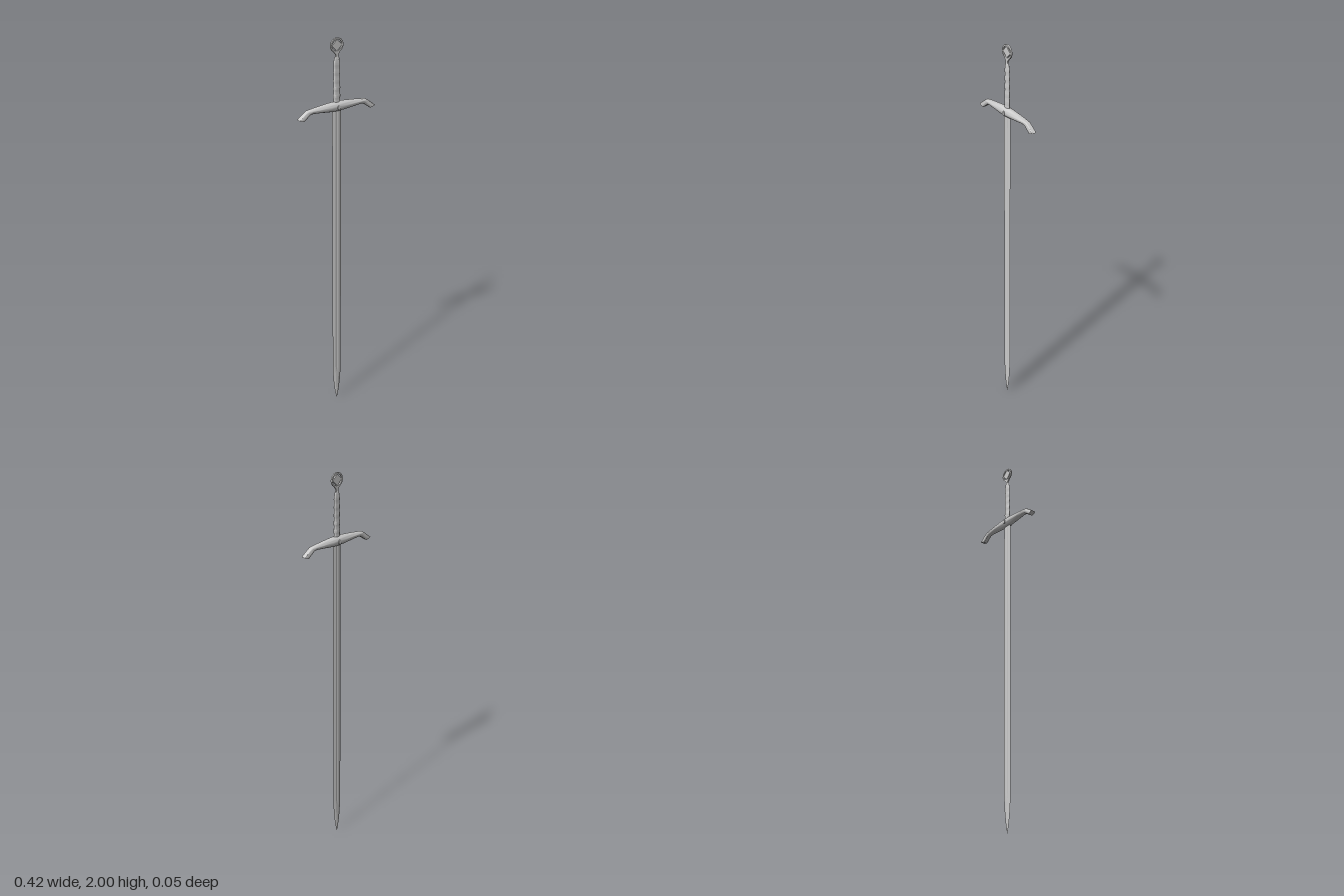
import * as THREE from 'three';
import { toCreasedNormals } from 'three/addons/utils/BufferGeometryUtils.js';

const material = new THREE.MeshStandardMaterial({ color: 0xcccccc });

function part(name, geometry, parent) {
  const mesh = new THREE.Mesh(geometry, material);
  mesh.name = name;
  parent.add(mesh);
  return mesh;
}

// Skins a list of equal-length closed rings and caps both ends.
function loft(rings, crease) {
  const n = rings[0].length, index = [];
  for (let i = 0; i < rings.length - 1; i++) {
    for (let j = 0; j < n; j++) {
      const a = i * n + j, b = i * n + (j + 1) % n;
      index.push(a, b, a + n, b, b + n, a + n);
    }
  }
  const last = (rings.length - 1) * n;
  for (let j = 1; j < n - 1; j++) {
    index.push(0, j + 1, j, last, last + j, last + j + 1);
  }
  const geometry = new THREE.BufferGeometry();
  geometry.setAttribute('position', new THREE.Float32BufferAttribute(rings.flat(2), 3));
  geometry.setIndex(index);
  return toCreasedNormals(geometry, crease);
}

// Signed power: 1 gives an ellipse, below 1 a boxier one, above 1 a more pointed one.
const power = (v, p) => Math.sign(v) * Math.abs(v) ** p;

function ring(count, point) {
  return Array.from({ length: count }, (_, i) => {
    const t = (i / count) * Math.PI * 2;
    return point(Math.cos(t), Math.sin(t));
  });
}

// Double-edged blade with a shallow central fuller: [y, half width, fuller depth]
function bladeGeometry() {
  const stations = [
    [0, 0.0008, 0], [0.025, 0.007, 0], [0.06, 0.0135, 0], [0.11, 0.0195, 0],
    [0.16, 0.023, 0], [0.2, 0.0245, 0.0015], [1.665, 0.0255, 0.0015],
  ];
  return loft(stations.map(([y, w, f]) => {
    const z = Math.min(0.0035, w * 0.3), s = w * 0.36;
    return [
      [0, y, z - f], [s, y, z], [w, y, 0], [s, y, -z],
      [0, y, f - z], [-s, y, -z], [-w, y, 0], [-s, y, z],
    ];
  }), 0.1);
}

// Crossguard, thickest in the middle, with ends bent down and squared off:
// [top x, top y, bottom x, bottom y, half depth, roundness power]
function guardGeometry() {
  const half = [
    [0, 1.692, 0, 1.643, 0.0215, 1],
    [0.04, 1.69, 0.04, 1.645, 0.0205, 1],
    [0.1, 1.684, 0.095, 1.651, 0.0175, 1],
    [0.145, 1.678, 0.132, 1.655, 0.015, 0.9],
    [0.165, 1.674, 0.148, 1.653, 0.014, 0.75],
    [0.182, 1.662, 0.162, 1.643, 0.0133, 0.6],
    [0.212, 1.637, 0.185, 1.627, 0.013, 0.3],
  ];
  const mirrored = half.slice(1).reverse().map(([a, b, c, d, e, f]) => [-a, b, -c, d, e, f]);
  const rings = [...mirrored, ...half].map(([tx, ty, bx, by, d, p]) =>
    ring(24, (c, s) => {
      const k = power(c, p) / 2;
      return [(tx + bx) / 2 + (tx - bx) * k, (ty + by) / 2 + (ty - by) * k, d * power(s, p)];
    }));
  return loft(rings, 0.8);
}

// Flat grip with gentle finger swells, rounded off at the top
function gripGeometry() {
  const rings = [], steps = 48, bottom = 1.68, top = 1.912;
  for (let i = 0; i <= steps; i++) {
    const u = i / steps, swell = 1 + 0.05 * Math.cos(u * Math.PI * 12);
    const close = 1 - 0.5 * Math.max(0, (u - 0.88) / 0.12) ** 2;
    const w = (0.0195 - 0.002 * u) * swell * close;
    const d = (0.0095 - 0.002 * u) * swell * close;
    rings.push(ring(20, (c, s) =>
      [w * power(s, 1.25), bottom + (top - bottom) * u, d * power(c, 1.25)]));
  }
  return loft(rings, 0.7);
}

// Ring pommel with four openings between crossed bars, on a short flared neck
function pommelGeometry() {
  const shape = new THREE.Shape();
  shape.moveTo(0.007, -0.056);
  shape.lineTo(0.007, -0.046);
  shape.absarc(0, 0, 0.0355, -Math.PI / 3, Math.PI * 4 / 3, false);
  shape.lineTo(-0.007, -0.046);
  shape.lineTo(-0.007, -0.056);
  const radius = 0.0265, bar = 0.0025, a = Math.asin(bar / radius);
  for (let q = 0; q < 4; q++) {
    const start = q * Math.PI / 2, hole = new THREE.Path();
    const corner = new THREE.Vector2(bar, bar).rotateAround(new THREE.Vector2(), start);
    hole.moveTo(corner.x, corner.y);
    hole.absarc(0, 0, radius, start + a, start + Math.PI / 2 - a, false);
    hole.closePath();
    shape.holes.push(hole);
  }
  const geometry = new THREE.ExtrudeGeometry(shape, {
    depth: 0.005, curveSegments: 24, bevelThickness: 0.0015, bevelSize: 0.001,
    bevelOffset: -0.001, bevelSegments: 1,
  });
  return geometry.translate(0, 1.9645, -0.0025);
}

export function createModel() {
  const sword = new THREE.Group();
  sword.name = 'sword';
  part('blade', bladeGeometry(), sword);
  part('crossguard', guardGeometry(), sword);
  part('grip', gripGeometry(), sword);
  part('ringPommel', pommelGeometry(), sword);

  // Oval stud passing through the guard
  const stud = part('guardStud',
    new THREE.CylinderGeometry(0.008, 0.008, 0.049, 20).rotateX(Math.PI / 2), sword);
  stud.scale.y = 1.4;
  stud.position.y = 1.666;
  return sword;
}
